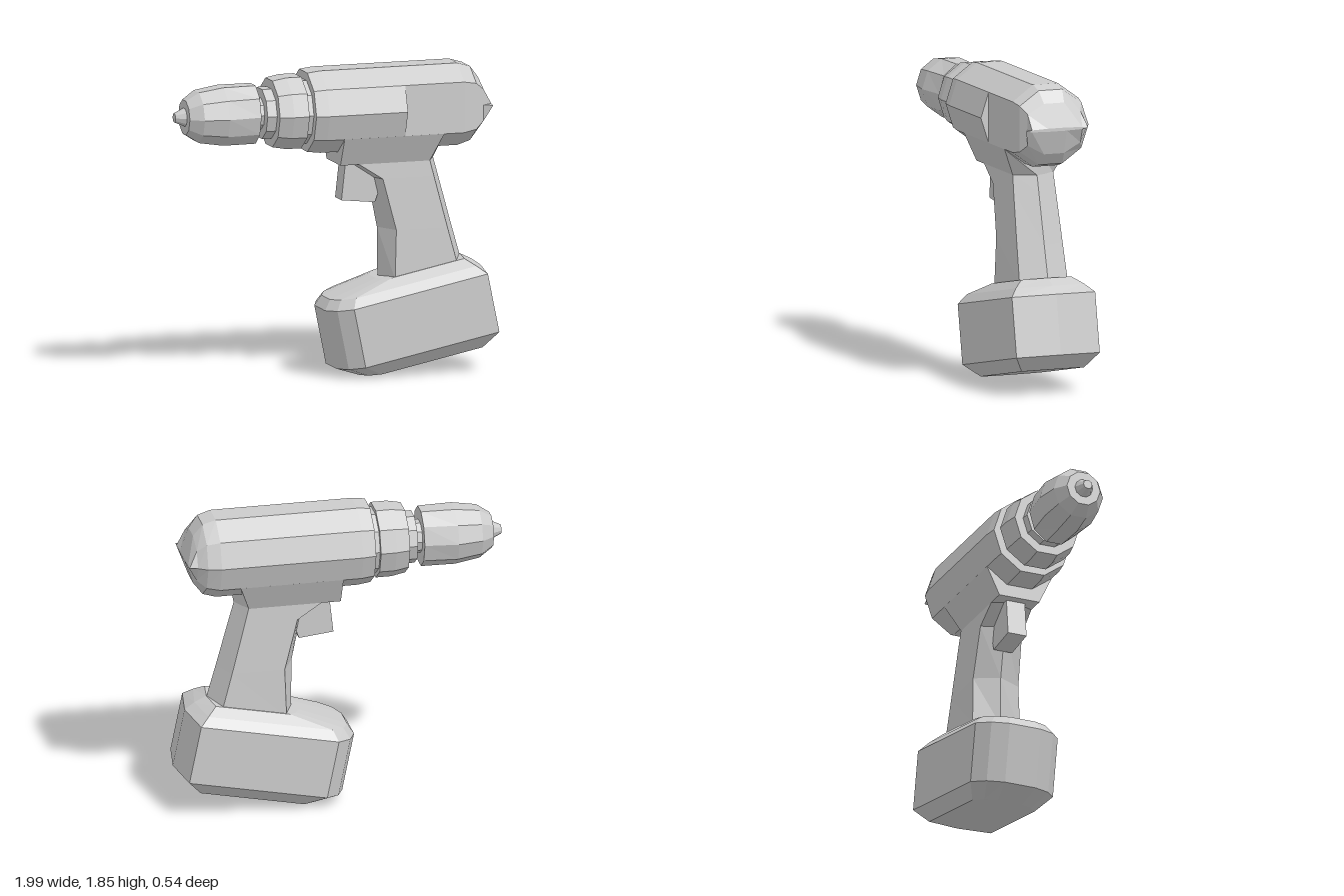
import * as THREE from 'three';

const material = new THREE.MeshStandardMaterial({ color: 0xcccccc, flatShading: true });
const AXIS_Y = 1.608;

// Skins a list of equal-length rings of [x, y, z] points and closes both ends.
function loft(name, rings) {
  const tris = [];
  const n = rings[0].length;
  for (let i = 0; i < rings.length - 1; i++) {
    for (let j = 0; j < n; j++) {
      const k = (j + 1) % n;
      const a = rings[i][j], b = rings[i][k], c = rings[i + 1][k], d = rings[i + 1][j];
      tris.push([a, b, c], [a, c, d]);
    }
  }
  const cap = (ring, flip) => {
    const mid = [0, 1, 2].map((q) => ring.reduce((s, p) => s + p[q], 0) / n);
    for (let j = 0; j < n; j++) {
      const a = ring[j], b = ring[(j + 1) % n];
      tris.push(flip ? [mid, b, a] : [mid, a, b]);
    }
  };
  cap(rings[0], true);
  cap(rings[rings.length - 1], false);

  // Turn the faces outward when the enclosed volume comes out negative.
  let volume = 0;
  const [va, vb, vc] = [new THREE.Vector3(), new THREE.Vector3(), new THREE.Vector3()];
  for (const [a, b, c] of tris) volume += va.set(...a).dot(vb.set(...b).cross(vc.set(...c)));
  if (volume < 0) tris.forEach((t) => t.reverse());

  const geometry = new THREE.BufferGeometry();
  geometry.setAttribute('position', new THREE.Float32BufferAttribute(tris.flat(2), 3));
  geometry.computeVertexNormals();
  const mesh = new THREE.Mesh(geometry, material);
  mesh.name = name;
  return mesh;
}

// Ten-sided ring around the barrel axis; flat cuts off the corner on the +z side.
function barrelRing(x, ry, rz = ry, flat = false) {
  return Array.from({ length: 10 }, (_, i) => {
    const t = (i * Math.PI) / 5;
    const z = Math.cos(t) * rz;
    return [x, AXIS_Y + Math.sin(t) * ry, flat && i === 0 ? rz * Math.cos(Math.PI / 5) : z];
  });
}

const turned = (name, profile) => loft(name, profile.map((p) => barrelRing(...p)));

// Six-sided handle ring, ridged at front and back.
function handleRing([yFront, yBack, front, frontBevel, backBevel, back, w]) {
  const at = (x, z) => [x, yFront + ((yBack - yFront) * (x - front)) / (back - front), z];
  return [at(front, 0), at(frontBevel, w), at(backBevel, w), at(back, 0), at(backBevel, -w), at(frontBevel, -w)];
}

// Battery ring in a frame tilted up toward the back.
function batteryRing([v, u0, u1, zScale]) {
  const tilt = 0.2;
  const half = [[0, 0.1], [0.045, 0.2], [0.13, 0.268], [0.985, 0.268]];
  const plan = [...half, [1.03, 0], ...half.map(([u, z]) => [u, -z]).reverse()];
  return plan.map(([u, z]) => {
    const s = u0 + (u / 1.03) * (u1 - u0);
    return [
      -0.015 + s * Math.cos(tilt) - v * Math.sin(tilt),
      0.055 + s * Math.sin(tilt) + v * Math.cos(tilt),
      z * zScale,
    ];
  });
}

export function createModel() {
  const group = new THREE.Group();
  group.name = 'cordlessDrill';

  // Motor housing, with its +z side flattened behind the step
  group.add(turned('motorHousing', [
    [-0.19, 0.25],
    [-0.11, 0.26],
    [0.38, 0.26],
    [0.38, 0.26, 0.26, true],
    [0.75, 0.26, 0.26, true],
    [0.83, 0.235, 0.245, true],
    [0.885, 0.16, 0.21, true],
    [0.935, 0.01, 0.2],
  ]));

  // Clutch, spindle and chuck in front of the housing
  group.add(turned('housingNeck', [[-0.18, 0.2], [-0.23, 0.2]]));
  group.add(turned('clutchRing', [[-0.225, 0.226], [-0.32, 0.226], [-0.405, 0.21]]));
  group.add(turned('clutchCollar', [[-0.4, 0.157], [-0.465, 0.157]]));
  group.add(turned('spindle', [[-0.46, 0.1], [-0.51, 0.1]]));
  group.add(turned('chuck', [
    [-0.505, 0.184, 0.16],
    [-0.71, 0.184],
    [-0.86, 0.16],
    [-0.937, 0.108],
  ]));
  group.add(turned('chuckTip', [[-0.93, 0.06], [-1, 0.028]]));

  // Underside block joining the housing and the handle
  group.add(loft('handleMount', [
    [[0, 1.455, -0.21], [0, 1.455, 0.21], [0.625, 1.455, 0.21], [0.625, 1.455, 0], [0.625, 1.455, -0.21]],
    [[0, 1.285, -0.13], [0, 1.285, 0.13], [0.56, 1.285, 0.13], [0.625, 1.285, 0], [0.56, 1.285, -0.13]],
  ]));

  // Handle: yFront, yBack, front, frontBevel, backBevel, back, halfWidth
  group.add(loft('handle', [
    [1.29, 1.29, 0.06, 0.11, 0.56, 0.622, 0.13],
    [1.19, 1.19, 0.21, 0.265, 0.585, 0.65, 0.135],
    [0.88, 0.88, 0.272, 0.345, 0.665, 0.735, 0.147],
    [0.57, 0.67, 0.275, 0.335, 0.725, 0.795, 0.155],
  ].map(handleRing)));

  // Trigger
  const outline = [[0.055, 1.29], [0.03, 1.063], [0.24, 1.04], [0.29, 1.19], [0.2, 1.29]];
  group.add(loft('trigger', [-0.06, 0.06].map((z) => outline.map(([x, y]) => [x, y, z]))));

  // Battery pack: height, front, back, width scale
  group.add(loft('batteryPack', [
    [-0.08, 0.142, 0.918, 0.75],
    [0, 0, 1.03, 1],
    [0.362, 0, 1.03, 1],
    [0.415, 0.05, 0.98, 0.82],
    [0.464, 0.36, 0.916, 0.6],
  ].map(batteryRing)));

  return group;
}
